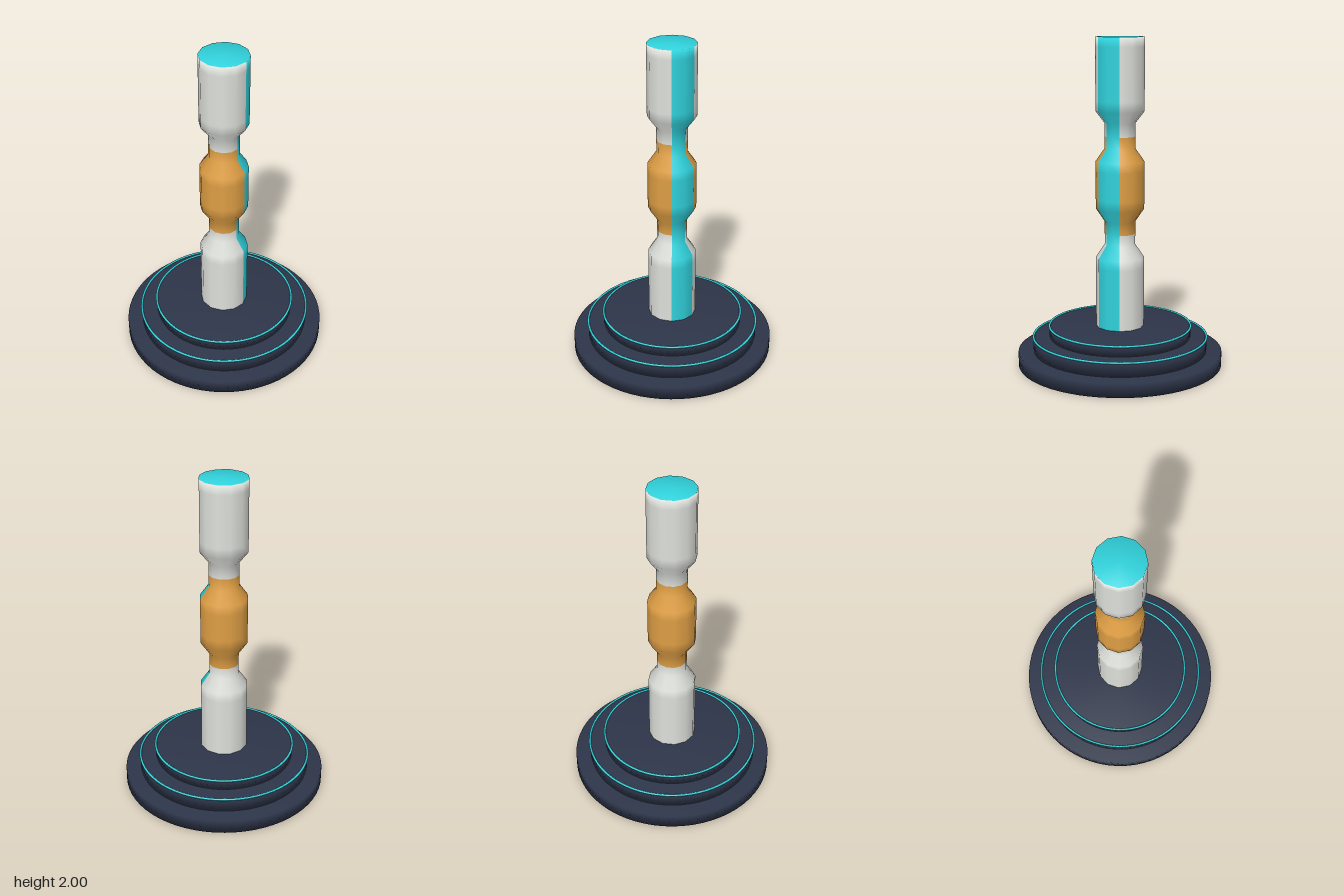
import * as THREE from 'three';

const mat = (name, color) => {
  const m = new THREE.MeshStandardMaterial({ color });
  m.name = name;
  return m;
};

export function createModel() {
  const white = mat('white', 0xdfe1dc);
  const gold = mat('gold', 0xdf9f45);
  const teal = mat('teal', 0x30d2dc);
  const navy = mat('navy', 0x2d3549);
  const model = new THREE.Group();
  model.name = 'steppedPillar';

  const add = (name, geometry, material) => {
    const mesh = new THREE.Mesh(geometry, material);
    mesh.name = name;
    model.add(mesh);
    return mesh;
  };
  const toPoints = (list) => list.map(([r, y]) => new THREE.Vector2(r, y));

  // Stepped base: three stacked discs with softly shaded edges
  const disc = (name, r, y0, y1) =>
    add(name, new THREE.LatheGeometry(toPoints([[0, y0], [r, y0], [r, y1], [0, y1]]), 64), navy);
  disc('baseLower', 0.628, 0, 0.085);
  disc('baseMiddle', 0.535, 0.085, 0.173);
  disc('baseUpper', 0.436, 0.173, 0.238);

  // Glowing trim rings on the rims of the upper steps
  for (const [name, r, y] of [['outerRing', 0.535, 0.173], ['innerRing', 0.436, 0.238]]) {
    const ring = add(name, new THREE.TorusGeometry(r, 0.007, 8, 64), teal);
    ring.rotation.x = -Math.PI / 2;
    ring.position.y = y;
  }

  // Twelve-sided column with two narrow necks, closed by a flat top
  const R = 0.147, N = 0.093;
  const profile = [
    [R, 0.238], [R, 0.3], [R, 0.61], [R, 0.67], [N, 0.75], [N, 0.817],
    [N, 0.89], [R, 0.97], [R, 1.03], [R, 1.2], [R, 1.26], [N, 1.337],
    [N, 1.41], [N, 1.49], [R, 1.56], [R, 1.62], [R, 1.94], [R, 2], [0, 2],
  ];
  const sides = 12;
  const geo = new THREE.LatheGeometry(toPoints(profile), sides);

  // Sort the faces by colour: white ends, gold middle, teal cap and side stripe
  const buckets = [[], [], []];
  const rows = profile.length - 1;
  const index = geo.index.array;
  for (let i = 0; i < sides; i++) {
    for (let j = 0; j < rows; j++) {
      const stripe = i === 3 || i === 4;
      const midY = (profile[j][1] + profile[j + 1][1]) / 2;
      const colour = stripe || j === rows - 1 ? 2 : midY > 0.817 && midY < 1.41 ? 1 : 0;
      const start = (i * rows + j) * 6;
      buckets[colour].push(...index.slice(start, start + 6));
    }
  }
  geo.setIndex(buckets.flat());
  let offset = 0;
  buckets.forEach((b, k) => {
    geo.addGroup(offset, b.length, k);
    offset += b.length;
  });
  add('column', geo, [white, gold, teal]);

  return model;
}
